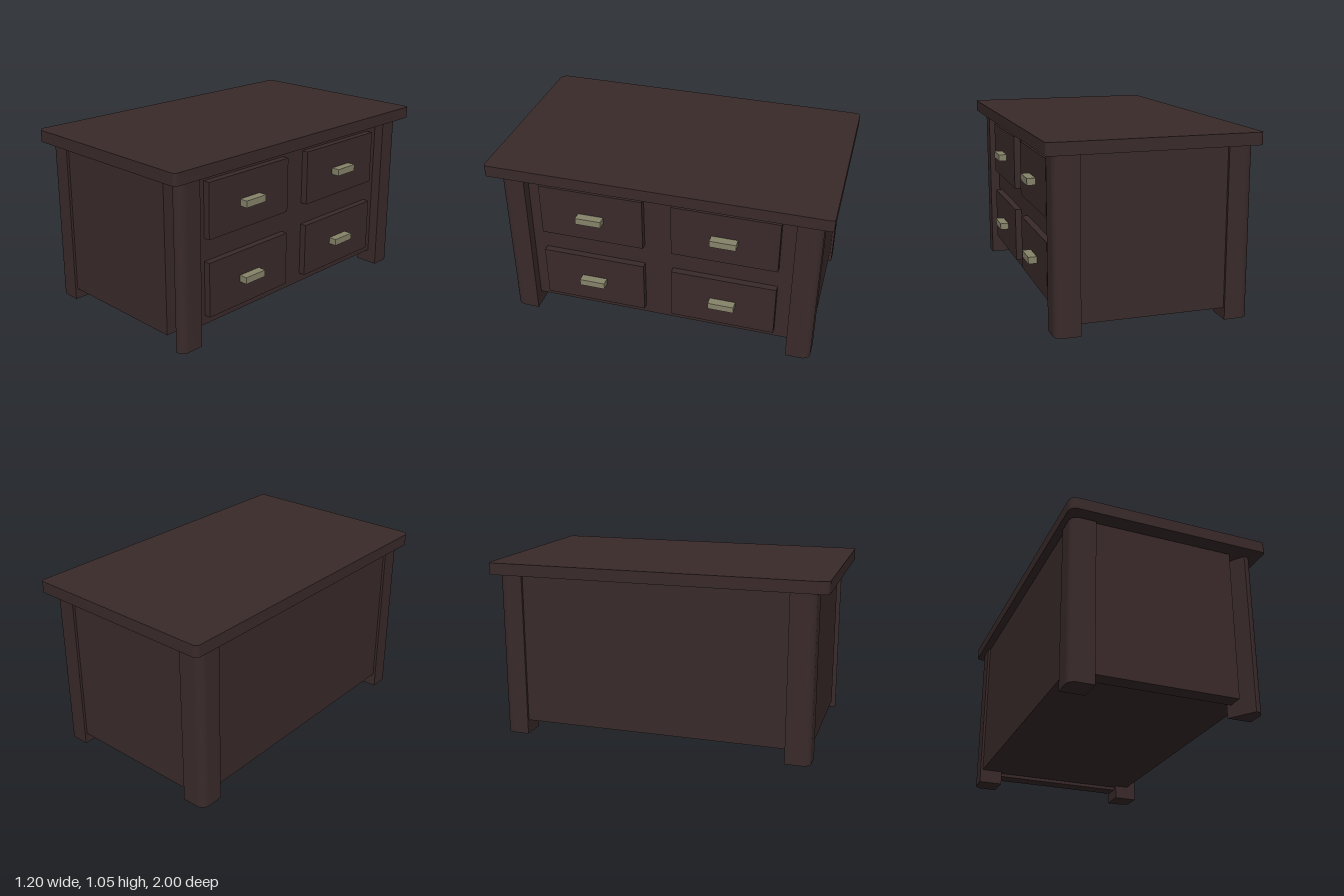
import * as THREE from 'three';
import { toCreasedNormals } from 'three/addons/utils/BufferGeometryUtils.js';

const wood = new THREE.MeshStandardMaterial({ color: 0x3a2a2a });
const metal = new THREE.MeshStandardMaterial({ color: 0x87846a });

// Box given by its min and max along each axis
function box(name, [x0, x1], [y0, y1], [z0, z1], material = wood) {
  const mesh = new THREE.Mesh(new THREE.BoxGeometry(x1 - x0, y1 - y0, z1 - z0), material);
  mesh.position.set((x0 + x1) / 2, (y0 + y1) / 2, (z0 + z1) / 2);
  mesh.name = name;
  return mesh;
}

// Upright slab whose plan corners have their own radii,
// in the order -x+z, +x+z, +x-z, -x-z
function roundedSlab(name, [x0, x1], [y0, y1], [z0, z1], radii) {
  const corners = [[x0, -z1, 1, 1], [x1, -z1, -1, 1], [x1, -z0, -1, -1], [x0, -z0, 1, -1]];
  const shape = new THREE.Shape();
  corners.forEach(([x, y, sx, sy], i) => {
    const r = radii[i];
    if (r === 0) {
      if (i) shape.lineTo(x, y); else shape.moveTo(x, y);
      return;
    }
    const start = Math.PI + i * Math.PI / 2;
    const cx = x + sx * r, cy = y + sy * r;
    if (i === 0) shape.moveTo(cx + r * Math.cos(start), cy + r * Math.sin(start));
    shape.absarc(cx, cy, r, start, start + Math.PI / 2, false);
  });
  shape.closePath();
  const geometry = new THREE.ExtrudeGeometry(shape, {
    depth: y1 - y0, bevelEnabled: false, curveSegments: 8,
  });
  geometry.rotateX(-Math.PI / 2);
  geometry.translate(0, y0, 0);
  const mesh = new THREE.Mesh(toCreasedNormals(geometry, 0.6), wood);
  mesh.name = name;
  return mesh;
}

export function createModel() {
  const model = new THREE.Group();
  model.name = 'chestTable';

  // Table top, with one softer corner
  model.add(roundedSlab('tableTop', [-0.6, 0.6], [0.985, 1.055], [-1, 1],
    [0.045, 0.02, 0.02, 0.025]));

  // Corner legs, each rounded on its outer corner
  const legX = [[-0.57, -0.425], [0.405, 0.55]];
  const legZ = [[-0.945, -0.8], [0.785, 0.93]];
  legX.forEach((x, i) => legZ.forEach((z, j) => {
    const radii = [0, 0, 0, 0];
    radii[j ? i : 3 - i] = 0.05;
    model.add(roundedSlab((j ? 'front' : 'back') + (i ? 'Left' : 'Right') + 'Leg',
      x, [0, 0.98], z, radii));
  }));

  // End panels hang slightly below the cabinet floor
  model.add(box('frontPanel', [-0.43, 0.41], [0.065, 0.98], [0.82, 0.915]));
  model.add(box('backPanel', [-0.43, 0.41], [0.065, 0.98], [-0.93, -0.835]));

  // Cabinet body between the legs
  model.add(box('cabinetBody', [-0.555, 0.49], [0.085, 0.98], [-0.8, 0.785]));
  model.add(box('cabinetFloor', [-0.425, 0.405], [0.085, 0.12], [-0.84, 0.825]));

  // Four drawers with bar handles
  const rows = [[0.14, 0.465, 0.3], [0.6, 0.925, 0.755]];
  const columns = [[0.08, 0.705, 0.393], [-0.715, -0.09, -0.403]];
  for (const [y0, y1, handleY] of rows) {
    for (const [z0, z1, handleZ] of columns) {
      const drawer = new THREE.Group();
      drawer.name = 'drawer';
      drawer.add(box('drawerFront', [0.48, 0.53], [y0, y1], [z0, z1]));
      drawer.add(box('drawerHandle', [0.525, 0.58], [handleY - 0.02, handleY + 0.02],
        [handleZ - 0.077, handleZ + 0.077], metal));
      model.add(drawer);
    }
  }
  return model;
}
